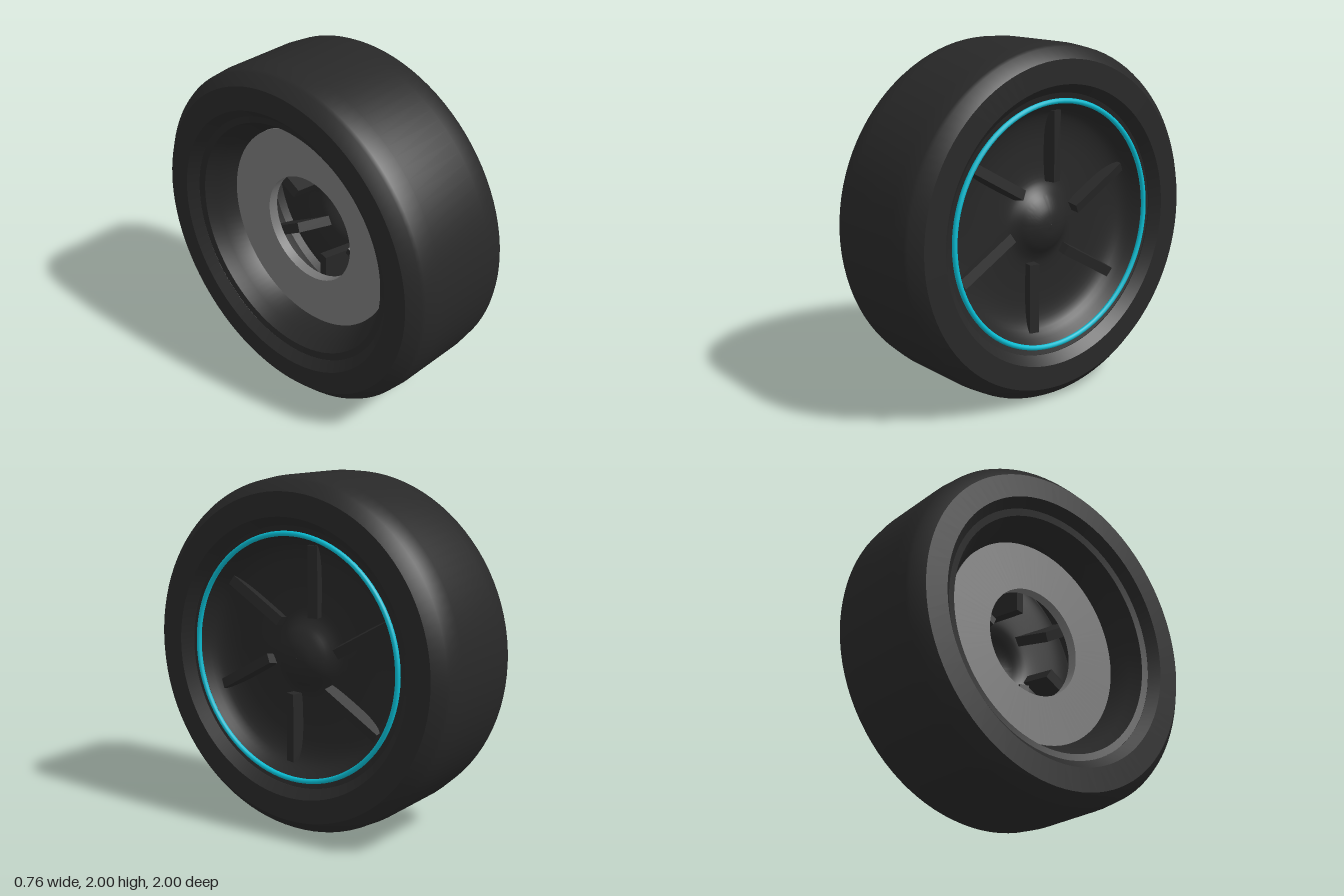
import * as THREE from 'three';
import { toCreasedNormals } from 'three/addons/utils/BufferGeometryUtils.js';

const material = (name, color, side = THREE.FrontSide) => {
  const m = new THREE.MeshStandardMaterial({ color, side });
  m.name = name;
  return m;
};

// Revolve [axial, radius] points around the x axis, keeping sharp edges
function revolve(points, crease = 0.62, segments = 96) {
  const geo = new THREE.LatheGeometry(points.map(([x, r]) => new THREE.Vector2(r, x)), segments);
  geo.rotateZ(-Math.PI / 2);
  return toCreasedNormals(geo, crease);
}

export function createModel() {
  const rubber = material('black rubber', 0x282828);
  const rimDark = material('dark rim', 0x272727, THREE.DoubleSide);
  const steel = material('grey steel', 0x777777);
  const cyan = material('cyan accent', 0x08bcd2);

  const model = new THREE.Group();
  model.name = 'wheel';
  const wheel = new THREE.Group();
  wheel.name = 'wheelAssembly';
  wheel.position.y = 1;
  model.add(wheel);
  const add = (name, geo, mat, parent = wheel) => {
    const mesh = new THREE.Mesh(geo, mat);
    mesh.name = name;
    parent.add(mesh);
    return mesh;
  };

  // Tyre: mirrored half profile, closed through the bead
  const half = [[0.2, 1], [0.3, 0.99], [0.32, 0.98], [0.378, 0.92], [0.378, 0.785], [0.325, 0.735]];
  const mirrored = half.map(([x, r]) => [-x, r]).reverse();
  add('tyre', revolve([...mirrored, ...half, mirrored[0]]), rubber);

  // Rim barrel: narrows from the rear bead to behind the brake disc
  add('rimBarrel', revolve([
    [-0.325, 0.74], [-0.315, 0.695], [-0.24, 0.66], [-0.146, 0.605], [0.0, 0.6], [0.18, 0.64],
  ]), rimDark);
  add('rimLip', revolve([[0.305, 0.69], [0.322, 0.74]]), rimDark);

  // Shallow dished face with a domed hub
  const dish = new THREE.SplineCurve([
    [0.29, 0.001], [0.28, 0.07], [0.25, 0.135], [0.21, 0.19], [0.188, 0.25],
    [0.182, 0.38], [0.188, 0.52], [0.222, 0.62], [0.305, 0.69],
  ].map(([x, r]) => new THREE.Vector2(x, r)));
  add('dishedFace', revolve(dish.getPoints(32).map((p) => [p.x, p.y]), 1), rimDark);

  // Cyan ring around the face
  const ring = new THREE.TorusGeometry(0.691, 0.0145, 10, 96);
  ring.rotateY(Math.PI / 2);
  add('accentRing', ring, cyan).position.x = 0.325;

  // Six twisted spokes, set off to one side of the centre line
  for (let i = 0; i < 6; i++) {
    const arm = new THREE.Group();
    arm.name = 'spokeArm';
    arm.rotation.x = (i * Math.PI) / 3;
    wheel.add(arm);
    const spoke = add('spoke', new THREE.BoxGeometry(0.3, 0.4, 0.058), rimDark, arm);
    spoke.position.set(0.1, 0.425, -0.048);
    spoke.rotation.y = 0.22;
  }

  // Brake disc with a wide centre hole
  add('brakeDisc', revolve([
    [-0.148, 0.32], [-0.148, 0.603], [-0.088, 0.603], [-0.088, 0.32], [-0.148, 0.32],
  ]), steel);

  return model;
}
